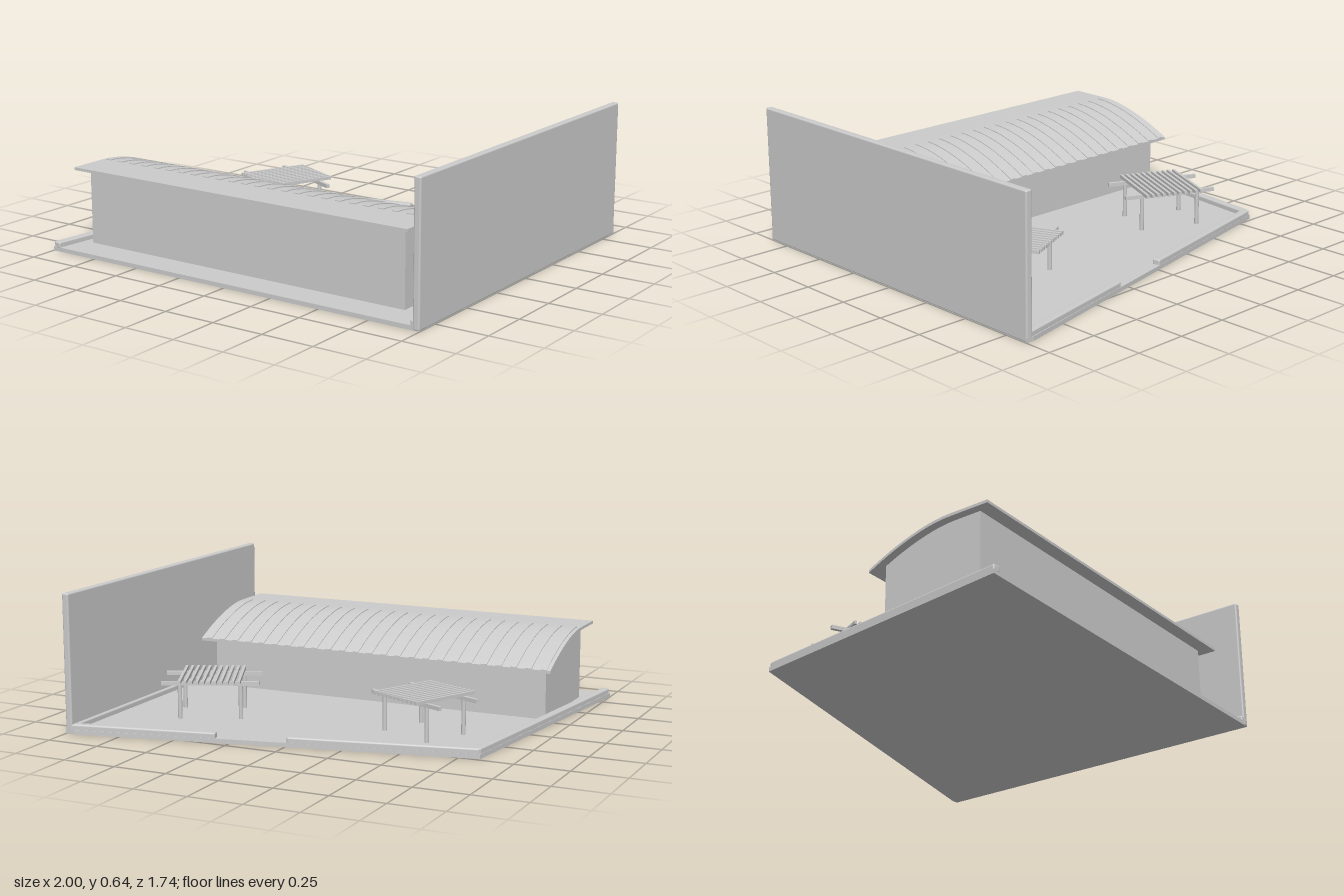
import * as THREE from 'three';
import { toCreasedNormals } from 'three/addons/utils/BufferGeometryUtils.js';
import { RoundedBoxGeometry } from 'three/addons/geometries/RoundedBoxGeometry.js';

const material = new THREE.MeshStandardMaterial({ color: 0xcccccc });
const BASE = 0.02; // ground slab thickness

function add(parent, name, geometry, x = 0, y = 0, z = 0) {
  const mesh = new THREE.Mesh(geometry, material);
  mesh.name = name;
  mesh.position.set(x, y, z);
  parent.add(mesh);
  return mesh;
}

// Extrude a [z, y] outline along x, from x0 to x1.
function extrudeAlongX(points, x0, x1) {
  const shape = new THREE.Shape(points.map(([z, y]) => new THREE.Vector2(z, y)));
  const geometry = new THREE.ExtrudeGeometry(shape, { depth: x1 - x0, bevelEnabled: false });
  geometry.rotateY(-Math.PI / 2).translate(x1, 0, 0);
  return toCreasedNormals(geometry, 0.4);
}

// Underside of the roof: steep at the back eave, level towards the front.
const EAVE = 0.16, CREST = 0.58;
function roofY(z) {
  const t = Math.max(0, (CREST - z) / (CREST - EAVE));
  return 0.376 - 0.126 * Math.pow(t, 1.7);
}
function roofCurve(z0, z1, offset, steps = 16) {
  return Array.from({ length: steps + 1 }, (_, i) => {
    const z = z0 + ((z1 - z0) * i) / steps;
    return [z, roofY(z) + offset];
  });
}
function roofBand(z0, z1, low, high) {
  return [...roofCurve(z0, z1, low), ...roofCurve(z0, z1, high).reverse()];
}

// Low rounded curb from (ax, az) to (bx, bz).
function addCurb(parent, ax, az, bx, bz) {
  const length = Math.hypot(bx - ax, bz - az);
  const curb = add(parent, 'curb', new RoundedBoxGeometry(length, 0.032, 0.038, 2, 0.008),
    (ax + bx) / 2, BASE + 0.009, (az + bz) / 2);
  curb.rotation.y = -Math.atan2(bz - az, bx - ax);
}

// Pergola: four posts, two long beams and a row of slats.
function makePergola(x, z, angle) {
  const pergola = new THREE.Group();
  pergola.name = 'pergola';
  pergola.position.set(x, 0, z);
  pergola.rotation.y = angle;
  for (const side of [-1, 1]) {
    add(pergola, 'beam', new THREE.BoxGeometry(0.45, 0.018, 0.016), 0, 0.186, side * 0.11);
    for (const end of [-1, 1]) {
      add(pergola, 'post', new THREE.CylinderGeometry(0.01, 0.01, 0.18, 16), end * 0.14, 0.09, side * 0.11);
    }
  }
  for (let i = 0; i < 11; i++) {
    add(pergola, 'slat', new THREE.BoxGeometry(0.013, 0.016, 0.35), (i - 5) * 0.0272, 0.202, 0);
  }
  return pergola;
}

export function createModel() {
  const model = new THREE.Group();
  model.name = 'courtyardBuilding';

  // Ground slab
  const plot = [[-1, 0.868], [0.998, 0.868], [0.998, -0.87], [0.96, -0.87], [-0.842, -0.484]];
  const outline = new THREE.Shape(plot.map(([x, z]) => new THREE.Vector2(x, -z)));
  add(model, 'ground', new THREE.ExtrudeGeometry(outline, { depth: BASE, bevelEnabled: false }).rotateX(-Math.PI / 2));

  // Tall boundary wall with a curb at its foot
  add(model, 'boundaryWall', new RoundedBoxGeometry(0.033, 0.64, 1.74, 2, 0.008), 0.983, 0.32, 0);
  addCurb(model, 0.972, 0.868, 0.972, -0.85);

  // Curbs along the left and back edges, with an entrance gap at the back
  addCurb(model, -0.978, 0.868, -0.822, -0.475);
  addCurb(model, -0.835, -0.465, -0.003, -0.643);
  addCurb(model, 0.315, -0.711, 0.985, -0.852);

  // Building body, its top following the roof
  const body = [[0.22, 0.004], [0.72, 0.004], ...roofCurve(0.22, 0.72, 0.002).reverse()];
  add(model, 'buildingBody', extrudeAlongX(body, -0.89, 0.835));

  // Curved roof and its shallow ribs
  add(model, 'roof', extrudeAlongX(roofBand(EAVE, 0.785, 0, 0.013), -0.93, 0.885));
  for (let i = 0; i < 25; i++) {
    const x = -0.912 + i * 0.0725;
    add(model, 'roofRib', extrudeAlongX(roofBand(EAVE, 0.59, 0.004, 0.017), x, x + 0.03));
  }

  // Pergolas in the yard
  model.add(makePergola(-0.477, -0.233, -0.437));
  model.add(makePergola(0.555, -0.317, 0.42));

  return model;
}
